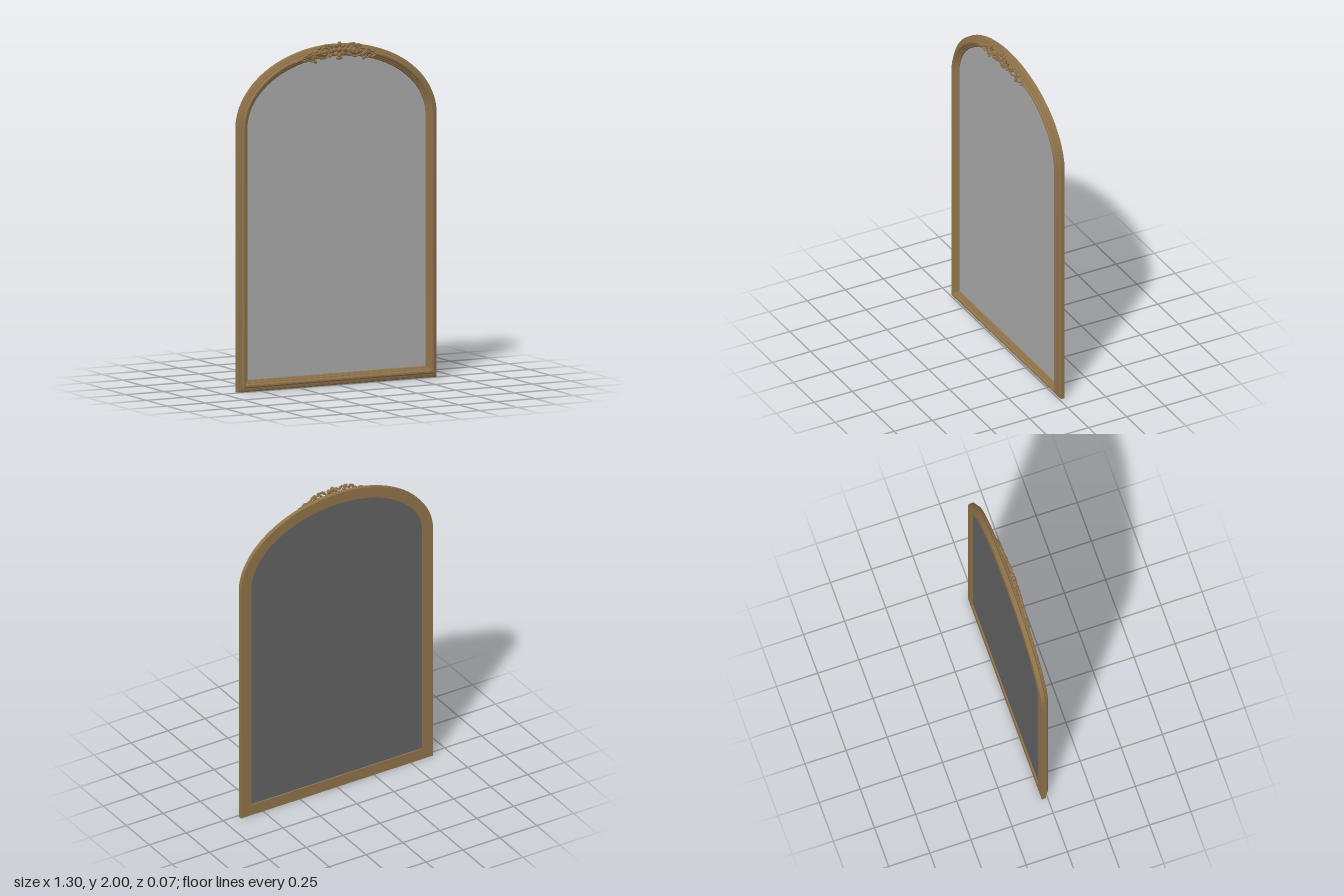
import * as THREE from 'three';
import { toCreasedNormals } from 'three/addons/utils/BufferGeometryUtils.js';

const HALF_W = 0.65, SPRING = 1.53, RISE = 0.45;

// Arched outline, moved inward by d, anticlockwise from the lower left corner
function outline(d, segments = 72) {
  const pts = [new THREE.Vector2(-(HALF_W - d), d), new THREE.Vector2(HALF_W - d, d)];
  for (let i = 0; i <= segments; i++) {
    const a = Math.PI * i / segments;
    pts.push(new THREE.Vector2((HALF_W - d) * Math.cos(a), SPRING + (RISE - d) * Math.sin(a)));
  }
  return pts;
}

// Moulding: closed cross-section of [inset, z] swept round the outline
function mouldingGeometry(profile) {
  const rings = profile.map(([d]) => outline(d));
  const n = rings[0].length, m = profile.length, pos = [], index = [];
  profile.forEach(([, z], j) => rings[j].forEach(p => pos.push(p.x, p.y, z)));
  for (let j = 0; j < m; j++) {
    for (let i = 0; i < n; i++) {
      const k = (i + 1) % n, j2 = (j + 1) % m;
      const a = j * n + i, b = j * n + k, c = j2 * n + k, e = j2 * n + i;
      index.push(a, b, c, a, c, e);
    }
  }
  const g = new THREE.BufferGeometry();
  g.setAttribute('position', new THREE.Float32BufferAttribute(pos, 3));
  g.setIndex(index);
  return toCreasedNormals(g, 0.45);
}

// Rounded strand through the points, tapering from radius r0 to r1
function strandGeometry(points, r0, r1, segments = 60) {
  const curve = new THREE.CatmullRomCurve3(points);
  const g = new THREE.TubeGeometry(curve, segments, 1, 8, false);
  const p = g.attributes.position, v = new THREE.Vector3();
  for (let i = 0; i < p.count; i++) {
    const t = Math.floor(i / 9) / segments;
    const c = curve.getPointAt(t);
    v.fromBufferAttribute(p, i).sub(c).multiplyScalar(r0 + (r1 - r0) * t).add(c);
    p.setXYZ(i, v.x, v.y, v.z);
  }
  g.computeVertexNormals();
  return g;
}

// Volute winding outward around (x, y), followed by tail points; s mirrors x
function volutePoints(x, y, r, turns, tail, s, z) {
  const pts = [], steps = 26;
  for (let i = 0; i <= steps; i++) {
    const t = i / steps;
    const a = -Math.PI / 2 - (1 - t) * turns * 2 * Math.PI;
    const rad = r * (0.22 + 0.78 * t);
    pts.push(new THREE.Vector3(s * (x + rad * Math.cos(a)), y + rad * Math.sin(a), z));
  }
  tail.forEach(([tx, ty]) => pts.push(new THREE.Vector3(s * tx, ty, z - 0.004)));
  return pts;
}

export function createModel() {
  const model = new THREE.Group();
  model.name = 'archedMirror';
  const gold = new THREE.MeshStandardMaterial({ color: 0x8f734a });
  gold.name = 'antique gold';
  const silver = new THREE.MeshStandardMaterial({ color: 0xa8a8a8 });
  silver.name = 'mirror silver';
  const grey = new THREE.MeshStandardMaterial({ color: 0x626262 });
  grey.name = 'backing grey';

  function add(parent, name, geometry, material) {
    const mesh = new THREE.Mesh(geometry, material);
    mesh.name = name;
    parent.add(mesh);
    return mesh;
  }

  // Stepped frame
  add(model, 'frame', mouldingGeometry([
    [0, -0.035], [0, -0.01], [0.004, -0.007], [0.013, -0.005], [0.015, 0.002],
    [0.024, 0.004], [0.026, 0.010], [0.031, 0.014], [0.039, 0.014], [0.045, 0.010],
    [0.048, 0.002], [0.055, 0.000], [0.058, -0.006], [0.065, -0.009], [0.069, -0.016],
    [0.069, -0.035],
  ]), gold);

  // Mirror pane and its backing
  const pane = new THREE.ShapeGeometry(new THREE.Shape(outline(0.067)));
  add(model, 'mirrorPane', pane, silver).position.z = -0.018;
  const backing = add(model, 'backing', pane.clone(), grey);
  backing.rotation.y = Math.PI;
  backing.position.z = -0.027;

  // Carved crest
  const crest = new THREE.Group();
  crest.name = 'crest';
  model.add(crest);
  const ball = new THREE.SphereGeometry(1, 14, 10);
  function lobe(parent, name, x, y, z, rx, ry, rz, angle = 0) {
    const mesh = add(parent, name, ball, gold);
    mesh.position.set(x, y, z);
    mesh.scale.set(rx, ry, rz);
    mesh.rotation.z = angle;
  }

  // Central rosette
  const rosette = new THREE.Group();
  rosette.name = 'rosette';
  crest.add(rosette);
  for (let i = 0; i < 8; i++) {
    const a = Math.PI * i / 4 + Math.PI / 2;
    lobe(rosette, 'petal', 0.032 * Math.cos(a), 1.952 + 0.032 * Math.sin(a), 0.019,
      0.016, 0.012, 0.012, a);
  }
  lobe(rosette, 'rosetteHeart', 0, 1.952, 0.022, 0.015, 0.015, 0.013);
  lobe(rosette, 'rosetteDrop', 0, 1.903, 0.016, 0.022, 0.01, 0.01);

  for (const s of [-1, 1]) {
    const spray = new THREE.Group();
    spray.name = s > 0 ? 'leftSpray' : 'rightSpray';
    crest.add(spray);

    // Scrolls
    add(spray, 'largeScroll', strandGeometry(volutePoints(0.098, 1.944, 0.036, 1.45,
      [[0.125, 1.909], [0.155, 1.922], [0.18, 1.936], [0.205, 1.934]], s, 0.02),
      0.008, 0.004), gold);
    lobe(spray, 'scrollEye', s * 0.098, 1.944, 0.022, 0.011, 0.011, 0.009);
    add(spray, 'smallScroll', strandGeometry(volutePoints(0.168, 1.909, 0.016, 1.2,
      [[0.19, 1.897], [0.215, 1.91], [0.245, 1.915], [0.285, 1.898]], s, 0.017),
      0.006, 0.003), gold);

    // Leaves: x, y, length, width, angle
    [
      [0.056, 1.975, 0.018, 0.009, 0.8], [0.058, 1.922, 0.018, 0.009, -0.7],
      [0.085, 1.982, 0.02, 0.007, 0.1], [0.13, 1.97, 0.02, 0.009, -0.5],
      [0.152, 1.95, 0.02, 0.008, -0.3], [0.158, 1.893, 0.013, 0.009, 0.9],
      [0.19, 1.943, 0.018, 0.007, -0.2], [0.218, 1.927, 0.02, 0.007, -0.3],
      [0.225, 1.899, 0.016, 0.007, 0.4], [0.25, 1.907, 0.018, 0.006, -0.4],
      [0.272, 1.899, 0.018, 0.005, -0.4],
    ].forEach(([x, y, l, w, a]) =>
      lobe(spray, 'leaf', s * x, y, 0.024 - 0.04 * x, l, w, 0.008, s * a));
  }
  return model;
}
